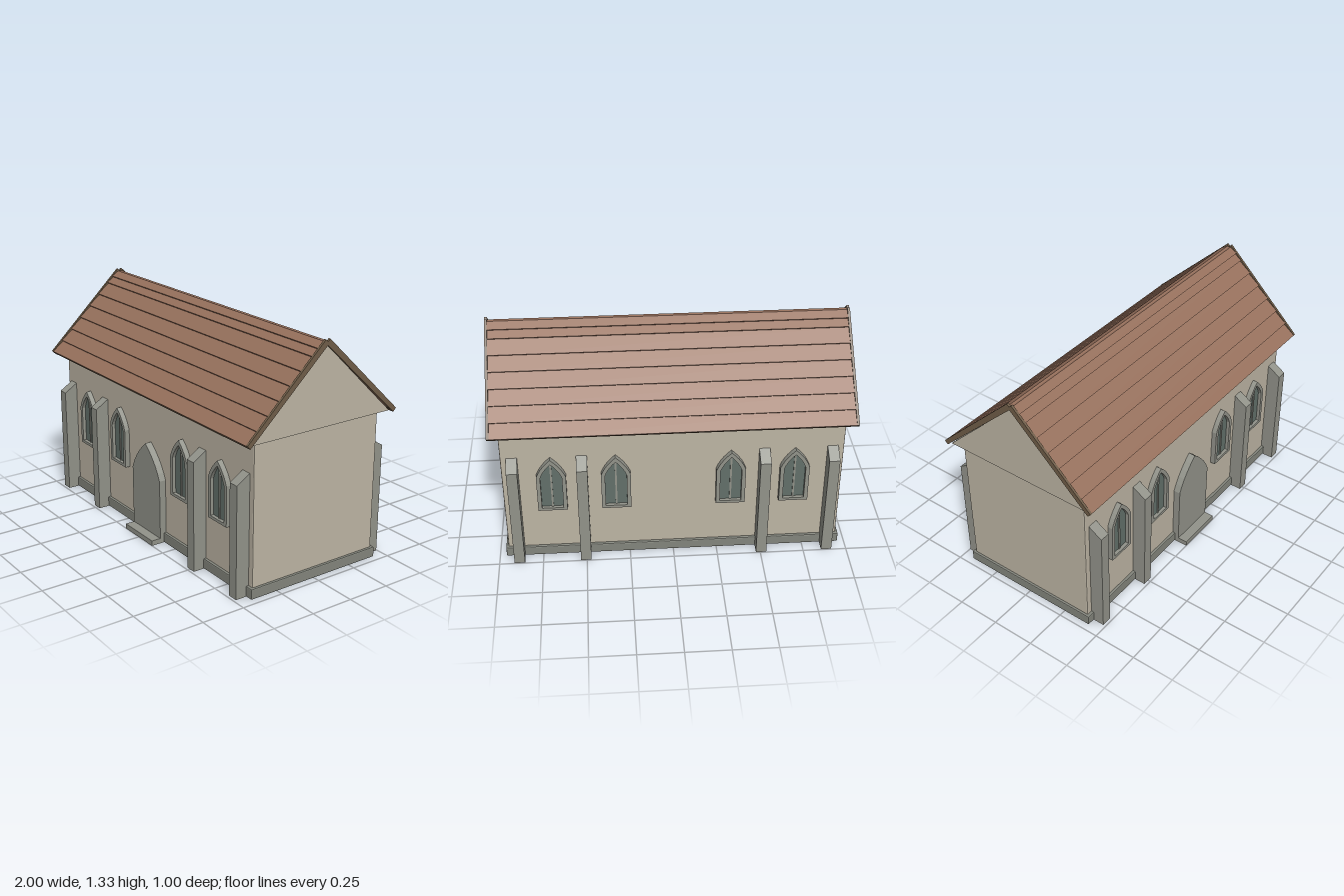
import * as THREE from 'three';
import { RoundedBoxGeometry } from 'three/addons/geometries/RoundedBoxGeometry.js';

const mat = (color) => new THREE.MeshStandardMaterial({ color, flatShading: true });
const wallMat = mat(0xbdb5a4), stoneMat = mat(0x92938a), plinthMat = mat(0x83857c);
const tileMat = mat(0x96705c), boardMat = mat(0x6f5d48), glassMat = mat(0x62706a);
const doorMat = mat(0x89775a), ironMat = mat(0x47474a);

const WALL_Z = 0.41;

function add(parent, name, geometry, material, x = 0, y = 0, z = 0) {
  const mesh = new THREE.Mesh(geometry, material);
  mesh.name = name;
  mesh.position.set(x, y, z);
  parent.add(mesh);
  return mesh;
}

const box = (w, h, d) => new THREE.BoxGeometry(w, h, d);

// Extrude a (z, y) outline along x, centred on x = 0
function extrudeAlongX(points, length) {
  const shape = new THREE.Shape(points.map(([z, y]) => new THREE.Vector2(z, y)));
  const g = new THREE.ExtrudeGeometry(shape, { depth: length, bevelEnabled: false });
  g.translate(0, 0, -length / 2);
  g.rotateY(-Math.PI / 2);
  return g;
}

// Pointed arch outline: half width, bottom, spring line and apex
function archPath(Path, hw, bottom, spring, apex) {
  const p = new Path();
  const bend = spring + (apex - spring) * 0.55;
  p.moveTo(-hw, bottom);
  p.lineTo(hw, bottom);
  p.lineTo(hw, spring);
  p.quadraticCurveTo(hw * 0.72, bend, 0, apex);
  p.quadraticCurveTo(-hw * 0.72, bend, -hw, spring);
  p.closePath();
  return p;
}

function extrude(shape, depth) {
  return new THREE.ExtrudeGeometry(shape, { depth, bevelEnabled: false, curveSegments: 5 });
}

function makeWindow() {
  const g = new THREE.Group();
  g.name = 'window';
  const frame = archPath(THREE.Shape, 0.082, 0.335, 0.565, 0.682);
  frame.holes.push(archPath(THREE.Path, 0.06, 0.352, 0.56, 0.652));
  add(g, 'windowFrame', extrude(frame, 0.04), stoneMat, 0, 0, -0.01);
  add(g, 'windowGlass', extrude(archPath(THREE.Shape, 0.062, 0.35, 0.56, 0.654), 0.02), glassMat, 0, 0, -0.01);
  add(g, 'windowMullion', box(0.01, 0.29, 0.014), stoneMat, 0, 0.495, 0.009);
  return g;
}

function makeDoor() {
  const g = new THREE.Group();
  g.name = 'door';
  const frame = archPath(THREE.Shape, 0.142, 0.03, 0.38, 0.565);
  frame.holes.push(archPath(THREE.Path, 0.12, 0.029, 0.37, 0.538));
  add(g, 'doorFrame', extrude(frame, 0.05), stoneMat, 0, 0, -0.01);
  add(g, 'doorLeaf', extrude(archPath(THREE.Shape, 0.122, 0.03, 0.37, 0.54), 0.032), doorMat, 0, 0, -0.01);
  for (const y of [0.135, 0.37]) add(g, 'doorHinge', box(0.2, 0.014, 0.012), ironMat, 0, y, 0.026);
  add(g, 'doorStep', box(0.28, 0.03, 0.1), stoneMat, 0, 0.015, 0.046);
  return g;
}

// One long side: buttresses and windows
function makeSide(name) {
  const g = new THREE.Group();
  g.name = name;
  const buttress = extrudeAlongX([[0.4, 0], [0.49, 0], [0.49, 0.635], [WALL_Z, 0.685], [0.4, 0.685]], 0.06);
  for (const x of [-0.885, -0.505, 0.505, 0.885]) add(g, 'buttress', buttress, stoneMat, x);
  for (const x of [-0.677, -0.32, 0.32, 0.677]) {
    const w = makeWindow();
    w.position.set(x, 0, WALL_Z);
    g.add(w);
  }
  return g;
}

// One roof slope: overlapping tile courses with boards along both gable ends
function makeSlope(name) {
  const g = new THREE.Group();
  g.name = name;
  const eave = [0.493, 0.873], top = [0.014, 1.33];
  const at = (y, drop) => {
    const z = eave[0] + ((y - eave[1]) / (top[1] - eave[1])) * (top[0] - eave[0]);
    return [z - drop * 0.69, y - drop * 0.72];
  };
  const edges = [0.873, 0.934, 0.998, 1.062, 1.127, 1.191, 1.255, 1.29, 1.325];
  const outline = [at(edges[0], 0.026)];
  for (let i = 0; i < edges.length - 1; i++) {
    outline.push(at(edges[i], 0.001), at(edges[i + 1], 0.012));
  }
  outline.push([0, 1.314], [0, 1.3]);
  add(g, 'roofTiles', extrudeAlongX(outline, 1.98), tileMat);

  const board = extrudeAlongX([[0.475, 0.853], eave, top, [0, 1.317], [0, 1.298]], 0.014);
  for (const s of [-1, 1]) add(g, 'gableBoard', board, boardMat, s * 0.993);
  // Board under the eave
  add(g, 'eaveBoard', extrudeAlongX([[0.475, 0.853], [0.489, 0.869], [0.462, 0.892], [0.447, 0.878]], 1.978), boardMat);
  return g;
}

export function createModel() {
  const model = new THREE.Group();
  model.name = 'chapel';
  const body = new THREE.Group();
  body.name = 'building';
  body.position.z = -0.006;
  model.add(body);

  // Walls, base and gable block
  add(body, 'walls', new RoundedBoxGeometry(1.896, 0.85, WALL_Z * 2, 1, 0.006), wallMat, 0, 0.44, 0);
  add(body, 'plinth', new RoundedBoxGeometry(1.924, 0.06, 0.852, 1, 0.006), plinthMat, 0, 0.03, 0);
  add(body, 'gable', extrudeAlongX([[-0.455, 0.863], [0.455, 0.863], [0, 1.3]], 1.975), wallMat);

  // Front and back, with matching roof slopes
  const back = new THREE.Group();
  back.name = 'back';
  back.rotation.y = Math.PI;
  back.add(makeSide('backSide'), makeSlope('backRoof'));
  body.add(makeSide('frontSide'), makeSlope('frontRoof'), back);

  // Front entrance
  const door = makeDoor();
  door.position.z = WALL_Z;
  body.add(door);
  return model;
}
